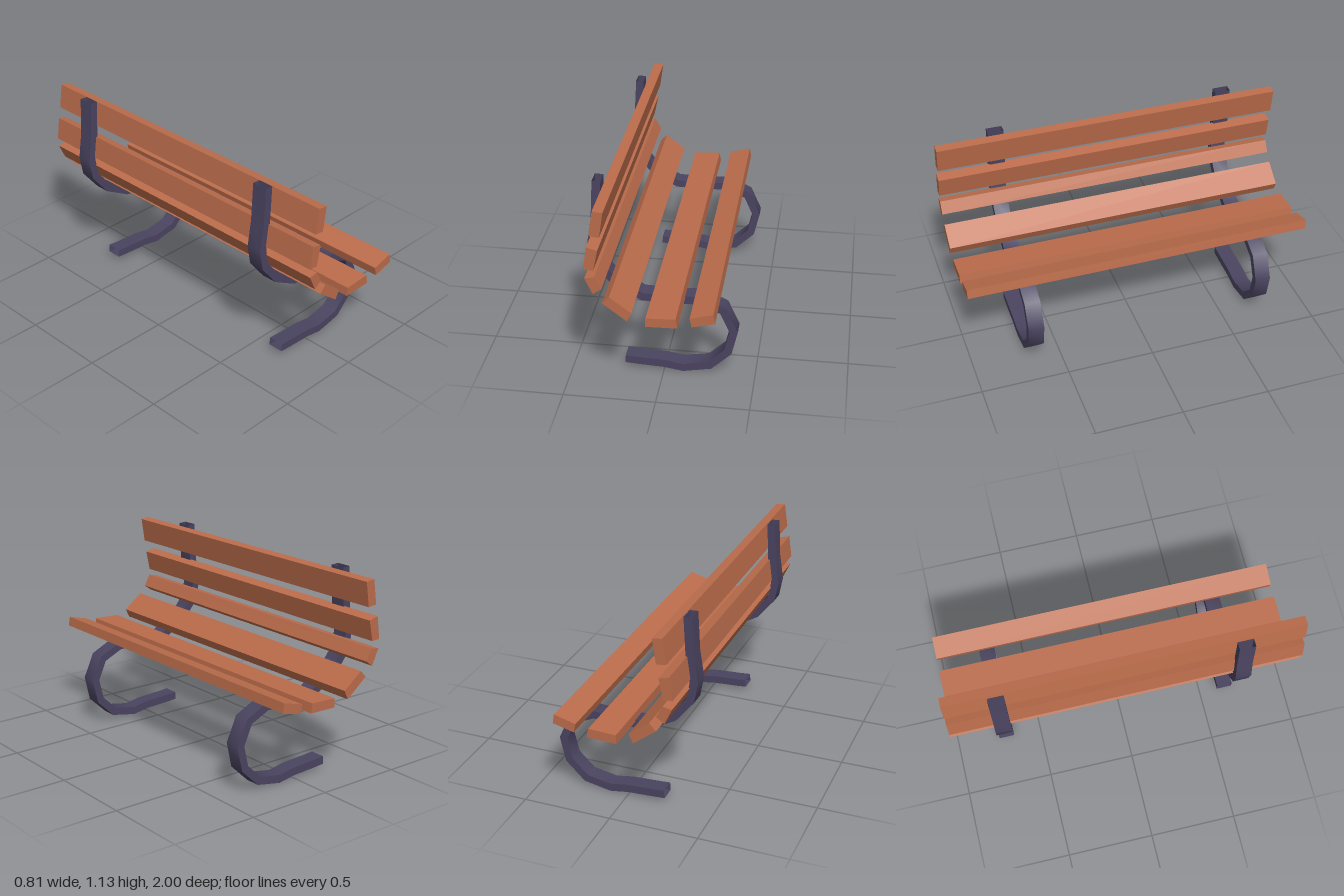
import * as THREE from 'three';

const wood = new THREE.MeshStandardMaterial({ color: 0xbb6c4b });
wood.name = 'reddish wood';
const metal = new THREE.MeshStandardMaterial({ color: 0x4a4460, side: THREE.DoubleSide });
metal.name = 'dark metal';

// Centre line of the bent support, from the top of the back to the foot
const FRAME_PATH = [
  [-0.346, 1.133], [-0.358, 0.915], [-0.381, 0.768], [-0.362, 0.662], [-0.266, 0.543],
  [-0.117, 0.46], [0.04, 0.455], [0.198, 0.462], [0.322, 0.404], [0.379, 0.277],
  [0.349, 0.147], [0.249, 0.051], [0.105, 0.024], [0, 0.041], [-0.15, 0.048], [-0.214, 0.053],
].map(([x, y]) => new THREE.Vector2(x, y));

// Slat cross-sections: four corners each, top of the back to front of the seat
const SLATS = [
  ['upperBackSlat', [[-0.308, 1.121], [-0.254, 1.115], [-0.275, 0.975], [-0.329, 0.981]]],
  ['middleBackSlat', [[-0.344, 0.915], [-0.287, 0.9], [-0.311, 0.783], [-0.362, 0.786]]],
  ['lowerBackSlat', [[-0.359, 0.735], [-0.308, 0.744], [-0.272, 0.678], [-0.317, 0.645]]],
  ['rearSeatSlat', [[-0.234, 0.633], [-0.12, 0.546], [-0.144, 0.495], [-0.272, 0.594]]],
  ['middleSeatSlat', [[-0.048, 0.522], [0.108, 0.528], [0.117, 0.475], [-0.051, 0.471]]],
  ['frontSeatSlat', [[0.18, 0.54], [0.302, 0.573], [0.311, 0.519], [0.191, 0.489]]],
];

// Open rectangular tube swept along the path: smooth along it, sharp at its four edges
function sweepTube(path, thickness, width) {
  const corners = [[1, -1], [1, 1], [-1, 1], [-1, -1]];
  const positions = [];
  const indices = [];
  for (let side = 0; side < 4; side++) {
    const start = positions.length / 3;
    path.forEach((p, i) => {
      const before = path[Math.max(i - 1, 0)];
      const after = path[Math.min(i + 1, path.length - 1)];
      const a = p.clone().sub(before).normalize();
      const b = after.clone().sub(p).normalize();
      const t = a.add(b).normalize();
      for (const [n, w] of [corners[side], corners[(side + 1) % 4]]) {
        const offset = n * thickness / 2;
        positions.push(p.x - t.y * offset, p.y + t.x * offset, w * width / 2);
      }
      if (i > 0) {
        const k = start + (i - 1) * 2;
        indices.push(k, k + 1, k + 2, k + 1, k + 3, k + 2);
      }
    });
  }
  const geometry = new THREE.BufferGeometry();
  geometry.setAttribute('position', new THREE.Float32BufferAttribute(positions, 3));
  geometry.setIndex(indices);
  geometry.computeVertexNormals();
  return geometry;
}

export function createModel() {
  const bench = new THREE.Group();
  bench.name = 'bench';

  // Two bent metal supports
  const frameGeometry = sweepTube(FRAME_PATH, 0.046, 0.09);
  for (const [name, z] of [['leftSupport', 0.65], ['rightSupport', -0.708]]) {
    const support = new THREE.Mesh(frameGeometry, metal);
    support.name = name;
    support.position.z = z;
    bench.add(support);
  }

  // Wooden slats along the whole length
  for (const [name, corners] of SLATS) {
    const shape = new THREE.Shape(corners.map(([x, y]) => new THREE.Vector2(x, y)));
    const geometry = new THREE.ExtrudeGeometry(shape, { depth: 2, bevelEnabled: false });
    geometry.translate(0, 0, -1);
    const slat = new THREE.Mesh(geometry, wood);
    slat.name = name;
    bench.add(slat);
  }
  return bench;
}
